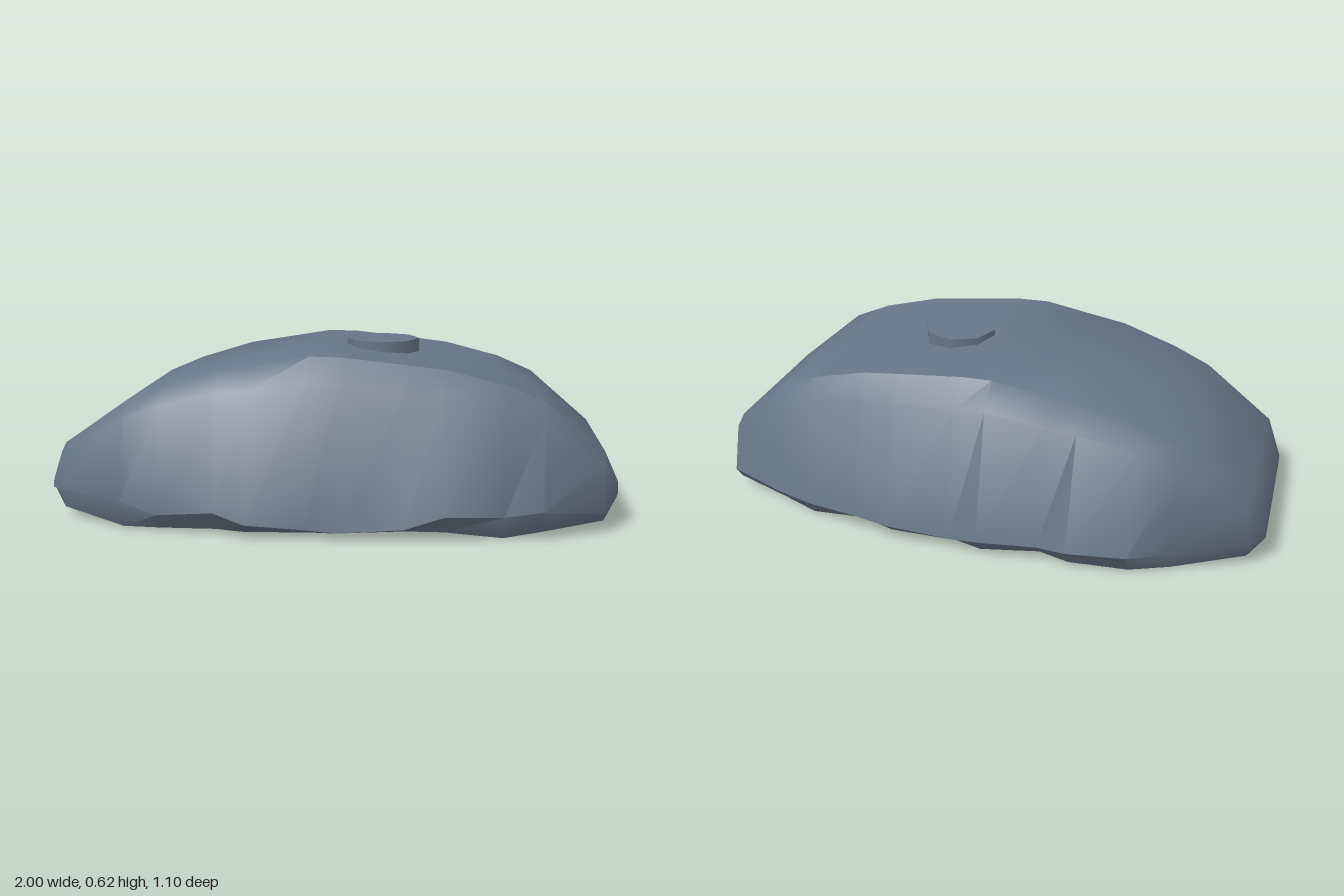
import * as THREE from 'three';
import { toCreasedNormals } from 'three/addons/utils/BufferGeometryUtils.js';

// Cross-sections along x:
// [x, top y, widest y front, widest y back, bottom y, half width of top, shoulder, widest front, widest back]
const SECTIONS = [
  [-1.00, 0.13, 0.10, 0.10, 0.09, 0.24, 0.26, 0.27, 0.27],
  [-0.945, 0.265, 0.11, 0.10, 0.04, 0.27, 0.32, 0.345, 0.34],
  [-0.70, 0.435, 0.11, 0.09, 0.01, 0.32, 0.395, 0.475, 0.45],
  [-0.57, 0.49, 0.07, 0.09, 0.012, 0.33, 0.41, 0.49, 0.515],
  [-0.37, 0.55, 0.09, 0.09, 0.02, 0.35, 0.435, 0.515, 0.545],
  [-0.26, 0.567, 0.06, 0.07, 0.02, 0.355, 0.44, 0.545, 0.51],
  [-0.06, 0.60, 0.04, 0.08, 0.017, 0.36, 0.445, 0.515, 0.555],
  [0.05, 0.598, 0.03, 0.05, 0.015, 0.36, 0.445, 0.51, 0.52],
  [0.27, 0.575, 0.05, 0.08, 0.03, 0.355, 0.43, 0.515, 0.55],
  [0.40, 0.56, 0.10, 0.07, 0.035, 0.35, 0.415, 0.53, 0.51],
  [0.60, 0.51, 0.09, 0.07, 0.005, 0.34, 0.40, 0.475, 0.48],
  [0.73, 0.455, 0.11, 0.08, 0.03, 0.33, 0.385, 0.47, 0.45],
  [0.945, 0.275, 0.075, 0.09, 0.04, 0.27, 0.32, 0.34, 0.37],
  [1.00, 0.16, 0.12, 0.12, 0.10, 0.22, 0.235, 0.24, 0.25],
];

// Outline of one section, from the front bottom over the top to the back bottom
function outline([x, top, wideF, wideB, bottom, zTop, zShoulder, zF, zB]) {
  const shoulder = (wide) => wide + (top - wide) * 0.85;
  return [
    [x, bottom, zF * 0.9], [x, wideF, zF], [x, shoulder(wideF), zShoulder], [x, top, zTop],
    [x, top, 0],
    [x, top, -zTop], [x, shoulder(wideB), -zShoulder], [x, wideB, -zB], [x, bottom, -zB * 0.9],
  ];
}

function shellGeometry() {
  const loops = SECTIONS.map(outline);
  const n = loops[0].length;
  const positions = [];
  const triangle = (a, b, c) => positions.push(...a, ...b, ...c);
  for (let i = 0; i < loops.length - 1; i++) {
    for (let j = 0; j < n; j++) {
      const k = (j + 1) % n;
      const a = loops[i][j], b = loops[i + 1][j], c = loops[i + 1][k], d = loops[i][k];
      triangle(a, b, c);
      triangle(a, c, d);
    }
  }
  // End caps
  const first = loops[0], last = loops[loops.length - 1];
  for (let j = 1; j < n - 1; j++) {
    triangle(first[0], first[j], first[j + 1]);
    triangle(last[0], last[j + 1], last[j]);
  }
  const geometry = new THREE.BufferGeometry();
  geometry.setAttribute('position', new THREE.Float32BufferAttribute(positions, 3));
  return toCreasedNormals(geometry, 0.75);
}

export function createModel() {
  const slate = new THREE.MeshStandardMaterial({ color: 0x667788 });
  slate.name = 'slate blue grey';
  const model = new THREE.Group();
  model.name = 'boulder';

  // Humped rock body
  const body = new THREE.Mesh(shellGeometry(), slate);
  body.name = 'rockBody';
  model.add(body);

  // Eight-sided stud on top
  const stud = new THREE.Mesh(new THREE.CylinderGeometry(0.13, 0.13, 0.08, 8), slate);
  stud.name = 'topStud';
  stud.position.set(0.17, 0.58, 0);
  model.add(stud);

  return model;
}
